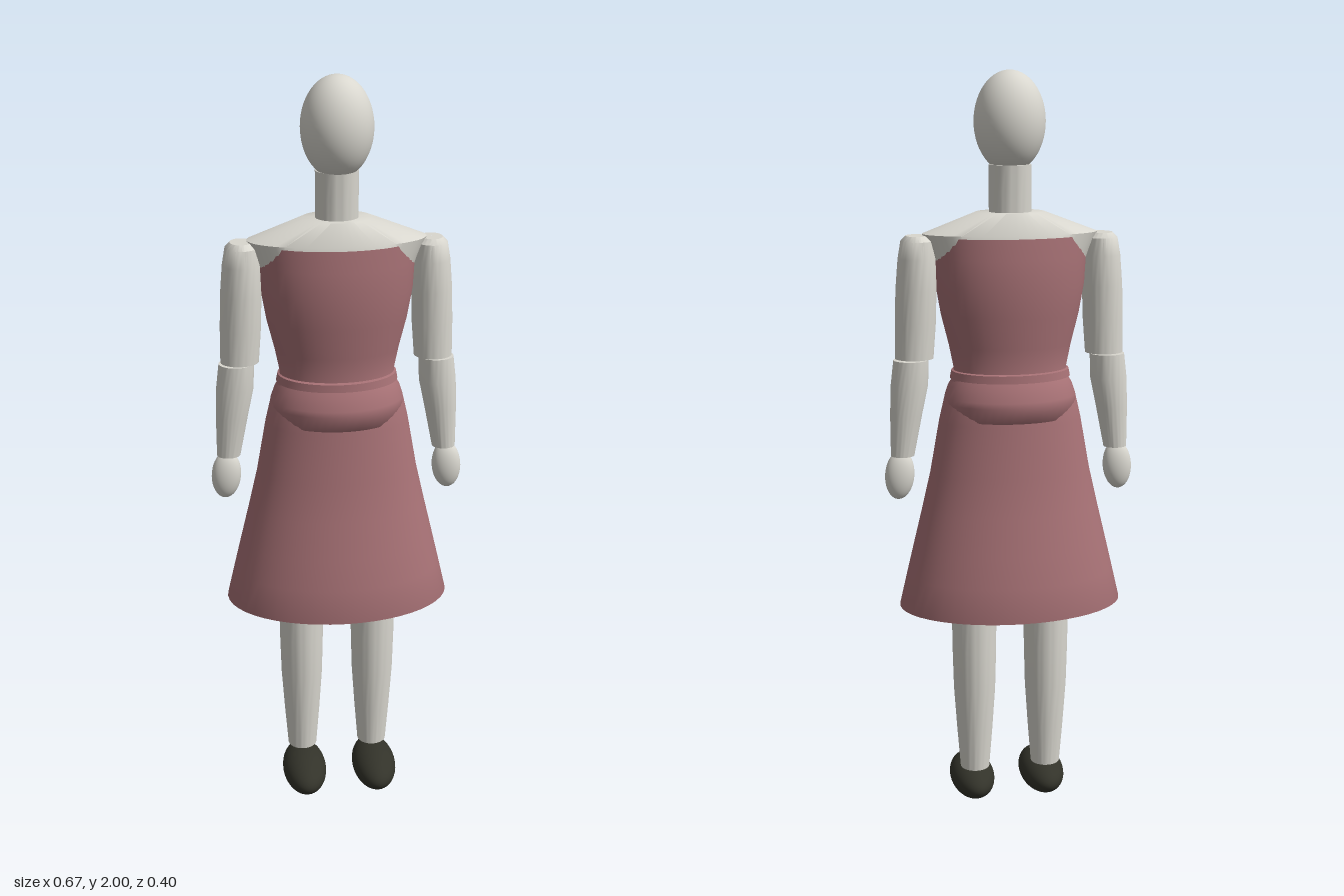
import * as THREE from 'three';
import { mergeVertices, toCreasedNormals } from 'three/addons/utils/BufferGeometryUtils.js';

// Stack of ellipses, top to bottom: [y, rx, rz, centre x, centre z]
function loft(rows, crease = 0.7) {
  const geo = new THREE.CylinderGeometry(1, 1, 1, 48, rows.length - 1, true);
  const p = geo.attributes.position;
  for (let i = 0; i < p.count; i++) {
    const [y, rx, rz, cx = 0, cz = 0] = rows[Math.floor(i / 49)];
    p.setXYZ(i, cx + p.getX(i) * rx, y, cz + p.getZ(i) * rz);
  }
  geo.deleteAttribute('uv');
  geo.deleteAttribute('normal');
  const merged = mergeVertices(geo, 1e-5);
  merged.computeVertexNormals();
  return crease ? toCreasedNormals(merged, crease) : merged;
}

// Close both ends of a row list with a point-like row
function capped(rows) {
  const end = ([y, , , cx = 0, cz = 0]) => [y, 0.001, 0.001, cx, cz];
  return [end(rows[0]), ...rows, end(rows[rows.length - 1])];
}

export function createModel() {
  const model = new THREE.Group();
  model.name = 'figure';

  const skin = new THREE.MeshStandardMaterial({ color: 0xd9d7cf });
  skin.name = 'pale skin';
  const cloth = new THREE.MeshStandardMaterial({ color: 0xa87276, side: THREE.DoubleSide });
  cloth.name = 'rose cloth';
  const leather = new THREE.MeshStandardMaterial({ color: 0x33332a });
  leather.name = 'dark leather';

  const add = (name, geo, mat, parent = model) => {
    const mesh = new THREE.Mesh(geo, mat);
    mesh.name = name;
    parent.add(mesh);
    return mesh;
  };
  const ellipsoid = (rx, ry, rz) => new THREE.SphereGeometry(1, 40, 28).scale(rx, ry, rz);

  // Head, neck and torso
  add('head', ellipsoid(0.092, 0.128, 0.094), skin).position.set(0, 1.872, 0.005);
  add('neck', loft(capped([
    [1.765, 0.055, 0.055], [1.7, 0.055, 0.052], [1.63, 0.055, 0.048],
  ])), skin);
  add('torso', loft(capped([
    [1.645, 0.09, 0.07], [1.592, 0.23, 0.105], [1.55, 0.21, 0.108],
    [1.48, 0.183, 0.11], [1.38, 0.165, 0.1], [1.24, 0.135, 0.085], [1.0, 0.15, 0.09],
  ]), 0.9), skin);

  // Dress: strapless bodice, belt, waist fold and flared skirt
  add('bodice', loft([
    [1.585, 0.205, 0.115], [1.53, 0.2, 0.122], [1.46, 0.196, 0.126], [1.38, 0.182, 0.119],
    [1.3, 0.162, 0.108], [1.24, 0.15, 0.101], [1.2, 0.158, 0.106],
  ]), cloth);
  add('belt', loft([
    [1.236, 0.151, 0.102], [1.234, 0.156, 0.113], [1.214, 0.16, 0.115], [1.212, 0.154, 0.105],
  ]), cloth);
  add('waistFold', loft([
    [1.213, 0.154, 0.108], [1.195, 0.165, 0.118], [1.165, 0.175, 0.129],
    [1.15, 0.176, 0.13], [1.11, 0.17, 0.126], [1.105, 0.15, 0.1],
  ], 0), cloth);
  add('skirt', loft([
    [1.22, 0.153, 0.1], [1.16, 0.176, 0.114], [1.1, 0.19, 0.122], [0.96, 0.215, 0.136],
    [0.86, 0.238, 0.153], [0.76, 0.262, 0.174], [0.68, 0.281, 0.188],
    [0.59, 0.302, 0.202], [0.59, 0.285, 0.187],
  ], 0), cloth);

  // Limbs, mirrored on both sides
  for (const [side, s] of [['left', 1], ['right', -1]]) {
    const arm = new THREE.Group();
    arm.name = side + 'Arm';
    model.add(arm);
    add('upperArm', loft(capped([
      [1.588, 0.028, 0.035, s * 0.244], [1.575, 0.042, 0.049, s * 0.243],
      [1.53, 0.049, 0.055, s * 0.244], [1.45, 0.053, 0.054, s * 0.247],
      [1.36, 0.053, 0.05, s * 0.25], [1.27, 0.05, 0.046, s * 0.254],
    ])), skin, arm);
    add('forearm', loft(capped([
      [1.266, 0.046, 0.043, s * 0.263], [1.2, 0.049, 0.044, s * 0.268],
      [1.12, 0.042, 0.038, s * 0.278], [1.01, 0.031, 0.028, s * 0.289],
    ])), skin, arm);
    const hand = add('hand', ellipsoid(0.039, 0.066, 0.028), skin, arm);
    hand.position.set(s * 0.297, 0.956, 0.005);
    hand.rotation.z = s * 0.08;

    const leg = new THREE.Group();
    leg.name = side + 'Leg';
    model.add(leg);
    add('leg', loft(capped([
      [1.0, 0.066, 0.07, s * 0.09], [0.6, 0.061, 0.064, s * 0.1],
      [0.46, 0.06, 0.064, s * 0.1], [0.34, 0.057, 0.059, s * 0.1],
      [0.22, 0.049, 0.05, s * 0.1], [0.105, 0.04, 0.041, s * 0.1],
    ])), skin, leg);
    add('shoe', ellipsoid(0.061, 0.052, 0.118), leather, leg).position.set(s * 0.1, 0.052, 0.053);
  }
  return model;
}
